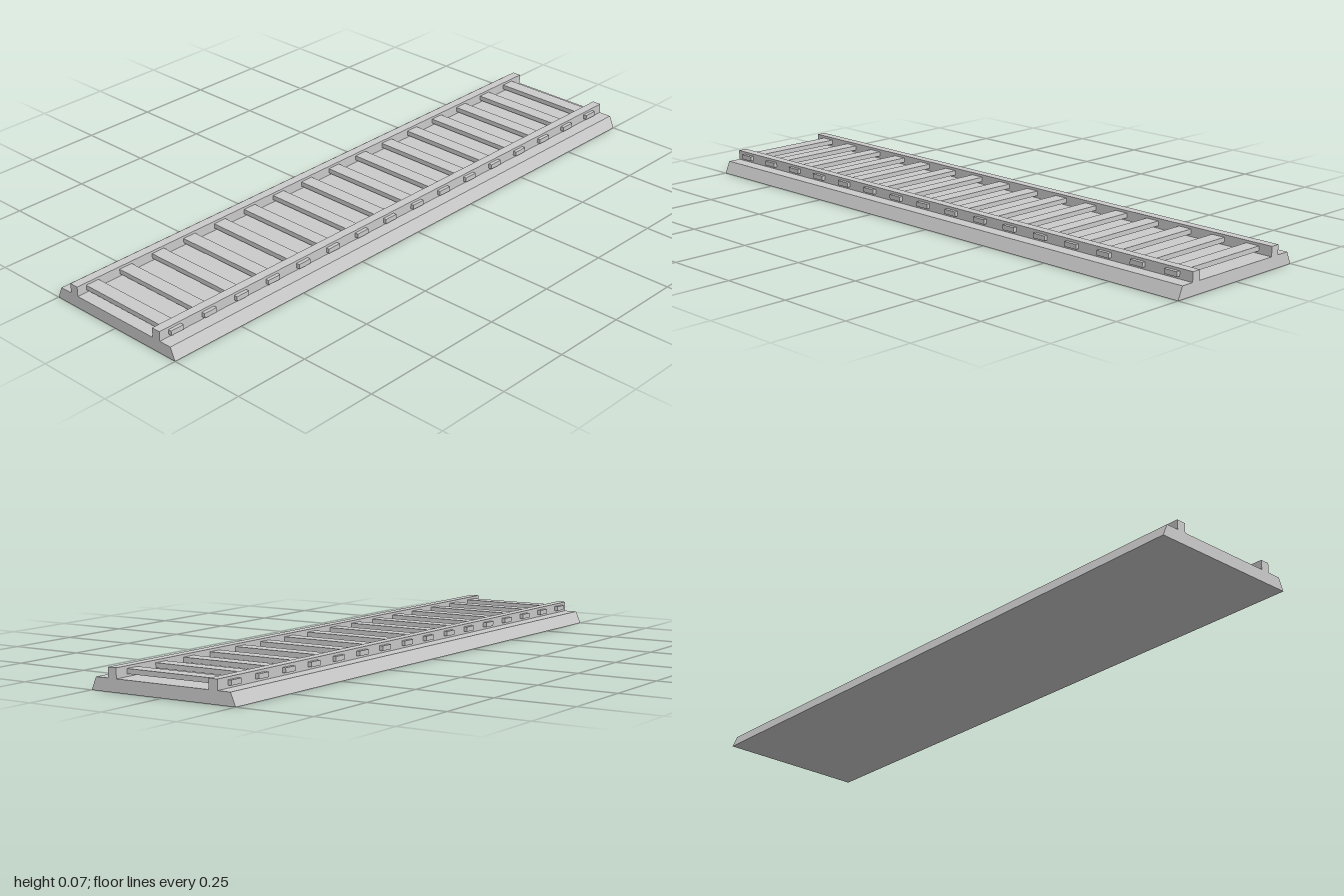
import * as THREE from 'three';

const LENGTH = 2;
const BED_TOP = 0.039;

export function createModel() {
  const track = new THREE.Group();
  track.name = 'railwayTrack';
  const material = new THREE.MeshStandardMaterial({ color: 0xcccccc, flatShading: true });

  function add(name, geometry, x, y, z) {
    const mesh = new THREE.Mesh(geometry, material);
    mesh.name = name;
    mesh.position.set(x, y, z);
    track.add(mesh);
  }

  // Ballast bed: trapezoid section swept along z
  const section = new THREE.Shape([
    new THREE.Vector2(-0.25, 0),
    new THREE.Vector2(0.25, 0),
    new THREE.Vector2(0.233, BED_TOP),
    new THREE.Vector2(-0.233, BED_TOP),
  ]);
  const bed = new THREE.ExtrudeGeometry(section, { depth: LENGTH, bevelEnabled: false });
  add('ballastBed', bed, 0, 0, -LENGTH / 2);

  // Two square rails resting on the bed
  const railHeight = 0.031;
  const rail = new THREE.BoxGeometry(0.03, railHeight, LENGTH);
  for (const side of [-1, 1]) {
    add(side > 0 ? 'leftRail' : 'rightRail', rail, side * 0.175, BED_TOP + railHeight / 2, 0);
  }

  // Sleepers running through the rails, raised clear of the bed
  const sleeper = new THREE.BoxGeometry(0.403, 0.015, 0.046);
  for (let i = 0; i < 16; i++) {
    add('sleeper' + (i + 1), sleeper, 0, 0.0545, -0.931 + i * 0.125);
  }

  return track;
}
